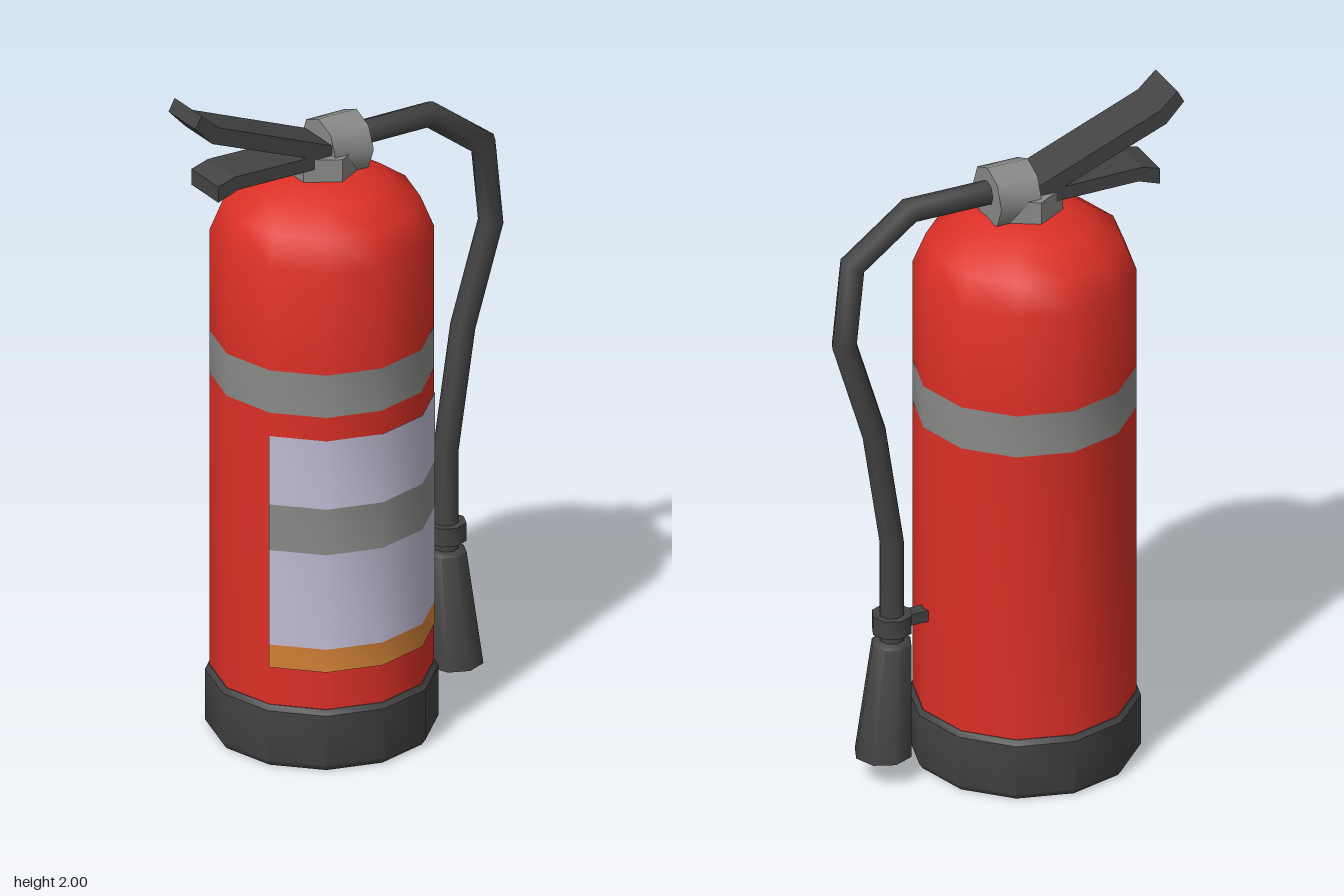
import * as THREE from 'three';
import { toCreasedNormals } from 'three/addons/utils/BufferGeometryUtils.js';

const AXIS = -0.07; // x of the cylinder's axis
const HOSE_X = 0.34; // x of the hanging hose end

function material(name, color) {
  const m = new THREE.MeshStandardMaterial({ color });
  m.name = name;
  return m;
}

export function createModel() {
  const red = material('red paint', 0xdc3026);
  const dark = material('dark rubber', 0x434343);
  const grey = material('grey metal', 0x8a8a88);
  const white = material('label white', 0xc2bcd4);
  const orange = material('label orange', 0xd38238);

  const model = new THREE.Group();
  model.name = 'fireExtinguisher';

  function add(name, geometry, mat, parent = model) {
    const mesh = new THREE.Mesh(geometry, mat);
    mesh.name = name;
    parent.add(mesh);
    return mesh;
  }

  // Turned part from [radius, y] pairs, listed from bottom to top
  function turned(profile, sides, x, crease = 0.6, start = 0, length = Math.PI * 2) {
    const points = profile.map(([r, y]) => new THREE.Vector2(r, y));
    const g = new THREE.LatheGeometry(points, sides, start, length);
    return toCreasedNormals(g.translate(x, 0, 0), crease);
  }

  // Tank: painted wall, grey band and shoulder
  const tank = new THREE.Group();
  tank.name = 'tank';
  model.add(tank);
  const R = 0.312;
  add('lowerWall', turned([[R, 0.1], [R, 1.08]], 12, AXIS), red, tank);
  add('band', turned([[R, 1.08], [R, 1.21]], 12, AXIS), grey, tank);
  add('shoulder', turned([[R, 1.21], [R, 1.52], [0.275, 1.61], [0.19, 1.67], [0.11, 1.702], [0, 1.702]], 12, AXIS, 0.8), red, tank);

  // Rubber foot with bevelled rims
  add('foot', turned([[0, 0], [0.314, 0], [0.325, 0.016], [0.325, 0.17], [0.314, 0.185], [0, 0.185]], 12, AXIS), dark);

  // Label wrapped over the four front facets
  const label = new THREE.Group();
  label.name = 'label';
  model.add(label);
  const strips = [
    ['orangeStrip', 0.30, 0.37, orange],
    ['lowerPanel', 0.37, 0.66, white],
    ['greyStrip', 0.66, 0.80, grey],
    ['upperPanel', 0.80, 1.01, white],
  ];
  for (const [name, y0, y1, mat] of strips) {
    const g = turned([[R + 0.004, y0], [R + 0.004, y1]], 4, AXIS, 0.6, -Math.PI / 3, Math.PI * 2 / 3);
    add(name, g, mat, label);
  }

  // Valve: hexagonal collar and a sideways barrel
  const collar = new THREE.CylinderGeometry(0.108, 0.108, 0.08, 6).translate(AXIS, 1.73, 0);
  add('collar', toCreasedNormals(collar, 0.6), grey);
  const barrel = new THREE.CylinderGeometry(0.09, 0.09, 0.125, 8).rotateZ(Math.PI / 2).translate(-0.018, 1.765, 0);
  add('valveBarrel', toCreasedNormals(barrel, 0.85), grey);

  // Levers: side outlines extruded across z
  function lever(name, outline) {
    const shape = new THREE.Shape(outline.map(([x, y]) => new THREE.Vector2(x, y)));
    const g = new THREE.ExtrudeGeometry(shape, { depth: 0.14, bevelEnabled: false });
    add(name, g.translate(0, 0, -0.07), dark);
  }
  lever('upperLever', [[-0.04, 1.78], [-0.08, 1.80], [-0.455, 1.95], [-0.51, 2.0], [-0.53, 1.963], [-0.475, 1.905], [-0.08, 1.75], [-0.04, 1.74]]);
  lever('lowerLever', [[-0.06, 1.78], [-0.40, 1.785], [-0.455, 1.768], [-0.455, 1.72], [-0.39, 1.743], [-0.06, 1.74]]);

  // Hose: mitred rings along a bent path in the z = 0 plane
  function hoseGeometry(path, radius, sides) {
    const pts = path.map(([x, y]) => new THREE.Vector2(x, y));
    const positions = [];
    const index = [];
    pts.forEach((p, i) => {
      const before = p.clone().sub(pts[Math.max(i - 1, 0)]).normalize();
      const after = pts[Math.min(i + 1, pts.length - 1)].clone().sub(p).normalize();
      const t = before.clone().add(after).normalize();
      const reach = radius / Math.max(t.dot(before), t.dot(after));
      for (let j = 0; j < sides; j++) {
        const a = (j / sides) * Math.PI * 2;
        const c = Math.cos(a) * reach;
        positions.push(p.x - t.y * c, p.y + t.x * c, Math.sin(a) * radius);
        if (i < pts.length - 1) {
          const k = i * sides + j;
          const n = i * sides + (j + 1) % sides;
          index.push(k, n, k + sides, n, n + sides, k + sides);
        }
      }
    });
    const g = new THREE.BufferGeometry();
    g.setAttribute('position', new THREE.Float32BufferAttribute(positions, 3));
    g.setIndex(index);
    g.computeVertexNormals();
    return g;
  }
  const path = [[0.02, 1.778], [0.285, 1.778], [0.462, 1.645], [0.487, 1.4], [0.395, 1.1], [HOSE_X, 0.74], [HOSE_X, 0.42]];
  add('hose', hoseGeometry(path, 0.036, 8), dark);

  // Clip holding the hose to the tank
  add('clipRing', turned([[0, 0.46], [0.058, 0.46], [0.058, 0.515], [0, 0.515]], 8, HOSE_X, 0.85), dark);
  add('clipArm', new THREE.BoxGeometry(0.1, 0.034, 0.04).translate(0.265, 0.49, 0), dark);

  // Hollow nozzle horn, leaning outward towards its mouth
  const horn = turned([[0, 0.3], [0.03, 0.3], [0.07, 0.08], [0.083, 0.08], [0.058, 0.425], [0.048, 0.435], [0, 0.435]], 8, HOSE_X, 0.85);
  const pos = horn.attributes.position;
  for (let i = 0; i < pos.count; i++) {
    pos.setX(i, pos.getX(i) + 0.027 * (0.435 - pos.getY(i)) / 0.355);
  }
  add('nozzle', horn, dark);

  return model;
}
